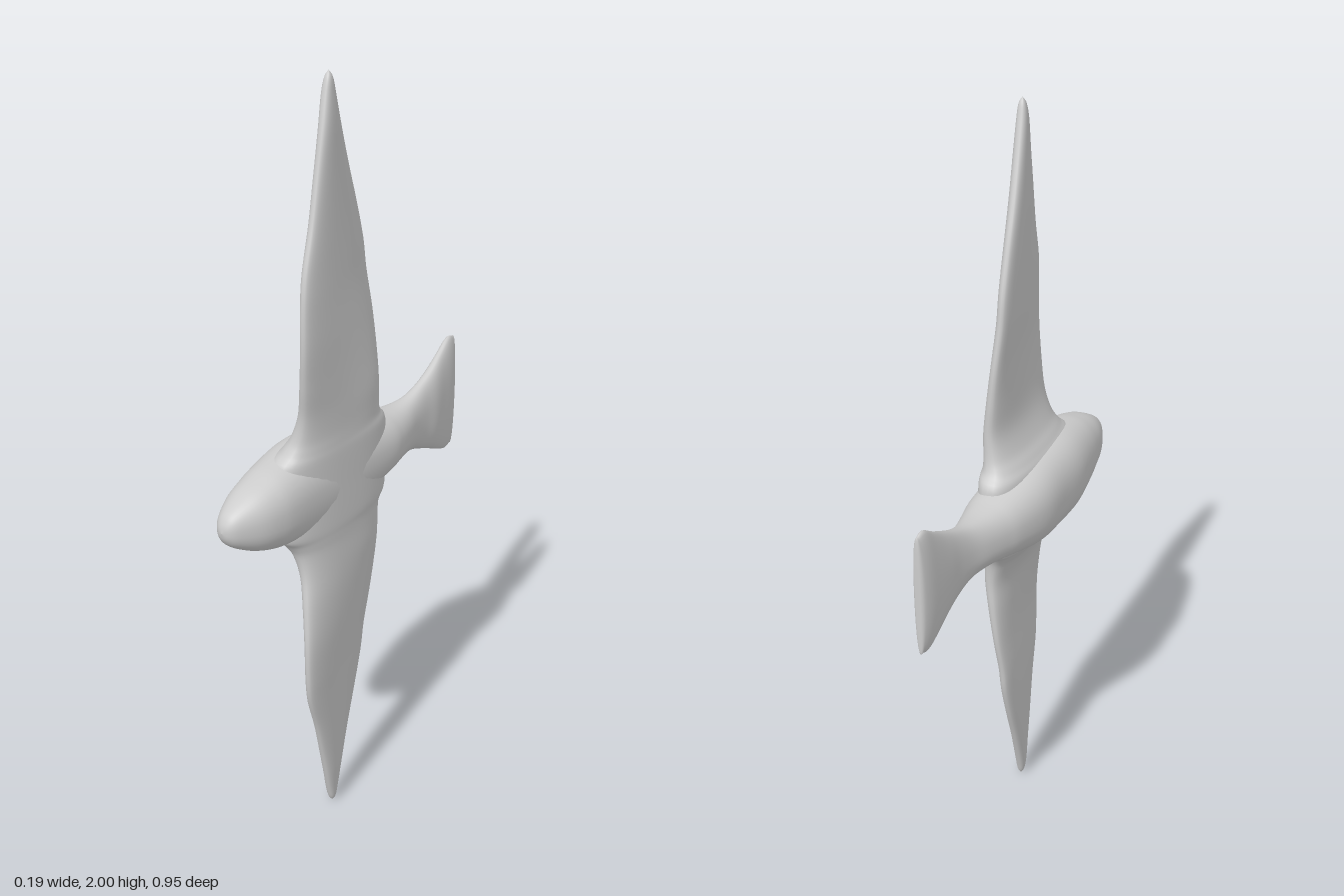
import * as THREE from 'three';

// Smooth interpolation through rows of numbers
function smoothRows(rows, steps) {
  const out = [];
  const at = (i) => rows[Math.min(Math.max(i, 0), rows.length - 1)];
  for (let i = 0; i < rows.length - 1; i++) {
    for (let s = 0; s < steps; s++) {
      const t = s / steps;
      out.push(rows[i].map((p1, k) => {
        const p0 = at(i - 1)[k], p2 = at(i + 1)[k], p3 = at(i + 2)[k];
        return p1 + 0.5 * t * (p2 - p0 + t * (2 * p0 - 5 * p1 + 4 * p2 - p3 + t * (3 * (p1 - p2) + p3 - p0)));
      }));
    }
  }
  out.push(rows[rows.length - 1]);
  return out;
}

// Skin closed rings; point(row, c, s) gives a position from a rounded section
function loft(name, rows, sides, power, point) {
  const pos = [], index = [];
  const bend = (v) => Math.sign(v) * Math.pow(Math.abs(v), 2 / power);
  rows.forEach((row, i) => {
    for (let j = 0; j < sides; j++) {
      const a = (j / sides) * Math.PI * 2;
      pos.push(...point(row, bend(Math.cos(a)), bend(Math.sin(a))));
      if (i === rows.length - 1) continue;
      const k = (j + 1) % sides, p = i * sides, q = p + sides;
      index.push(p + j, p + k, q + j, p + k, q + k, q + j);
    }
  });
  const geo = new THREE.BufferGeometry();
  geo.setAttribute('position', new THREE.Float32BufferAttribute(pos, 3));
  geo.setIndex(index);
  geo.computeVertexNormals();
  const mesh = new THREE.Mesh(geo, new THREE.MeshStandardMaterial({ color: 0xcccccc }));
  mesh.name = name;
  return mesh;
}

export function createModel() {
  const model = new THREE.Group();
  model.name = 'bird';

  // Body with fanned tail and head: z, belly x, back x, centre y, half height
  const body = [
    [-0.475, 0, 0, 1.01, 0],
    [-0.474, -0.008, 0.01, 1.01, 0.145],
    [-0.465, -0.015, 0.016, 1.012, 0.162],
    [-0.44, -0.02, 0.023, 1.011, 0.165],
    [-0.40, -0.021, 0.03, 1.005, 0.145],
    [-0.35, -0.021, 0.039, 1.002, 0.118],
    [-0.30, -0.021, 0.04, 1, 0.095],
    [-0.25, -0.028, 0.046, 1, 0.078],
    [-0.20, -0.045, 0.058, 1, 0.073],
    [-0.15, -0.063, 0.07, 1, 0.077],
    [-0.10, -0.081, 0.079, 1, 0.087],
    [0, -0.104, 0.08, 1, 0.108],
    [0.10, -0.105, 0.08, 1, 0.118],
    [0.20, -0.104, 0.081, 1, 0.118],
    [0.30, -0.088, 0.082, 1, 0.105],
    [0.35, -0.078, 0.077, 1, 0.093],
    [0.40, -0.066, 0.062, 1, 0.075],
    [0.45, -0.043, 0.032, 1, 0.046],
    [0.47, -0.025, 0.012, 1, 0.022],
    [0.476, -0.008, -0.008, 1, 0],
  ];
  model.add(loft('body', smoothRows(body, 5), 40, 2.3, ([z, x0, x1, y, h], c, s) =>
    [(x0 + x1) / 2 + c * (x1 - x0) / 2, y + s * h, z]));

  // Wing, root to tip: distance out, front z, rear z, front x, rear x, half thickness
  const wing = [
    [0, 0.30, -0.11, 0.015, 0.015, 0.066],
    [0.09, 0.30, -0.11, 0.015, 0.015, 0.066],
    [0.125, 0.272, -0.083, 0.024, 0.02, 0.057],
    [0.16, 0.254, -0.07, 0.034, 0.03, 0.046],
    [0.22, 0.249, -0.065, 0.048, 0.037, 0.036],
    [0.30, 0.262, -0.066, 0.063, 0.03, 0.031],
    [0.40, 0.274, -0.062, 0.075, 0.02, 0.027],
    [0.50, 0.272, -0.048, 0.075, 0.012, 0.026],
    [0.58, 0.258, -0.036, 0.07, 0.011, 0.025],
    [0.68, 0.222, -0.004, 0.062, 0.014, 0.023],
    [0.78, 0.193, 0.036, 0.055, 0.02, 0.021],
    [0.88, 0.166, 0.075, 0.049, 0.028, 0.018],
    [0.95, 0.146, 0.1, 0.042, 0.034, 0.014],
    [0.985, 0.134, 0.112, 0.04, 0.037, 0.009],
    [1, 0.122, 0.122, 0.038, 0.038, 0],
  ];
  // Both wings are one skin, mirrored about the body
  const half = smoothRows(wing, 5);
  const span = [...half.slice(1).reverse().map(([d, ...r]) => [-d, ...r]), ...half];
  model.add(loft('wings', span, 40, 2.4, ([d, zf, zr, xf, xr, th], c, s) => {
    const x = (xf + xr) / 2 + c * (xf - xr) / 2 + s * th;
    return [x, 1 + d, (zf + zr) / 2 + c * (zf - zr) / 2];
  }));

  return model;
}
